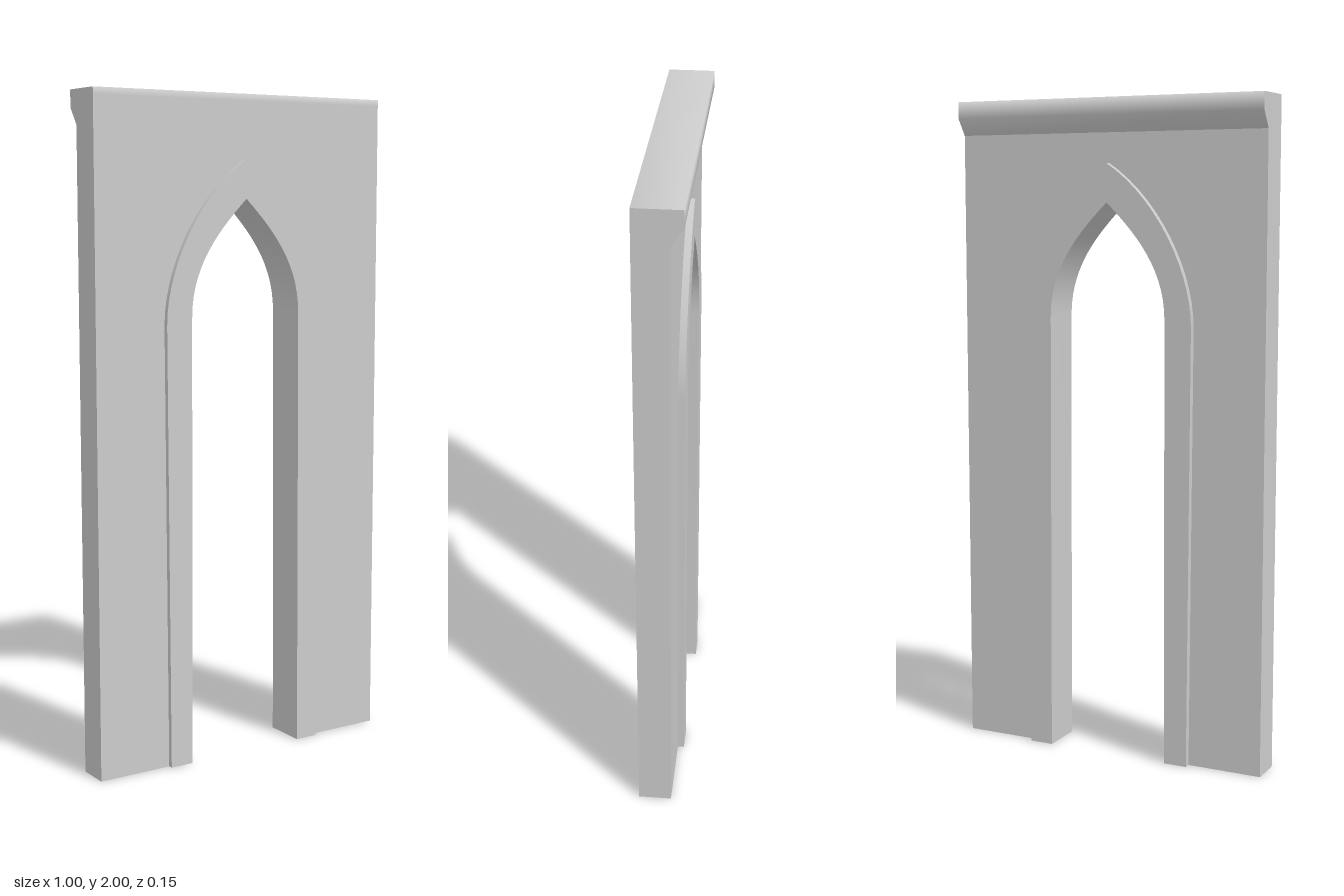
import * as THREE from 'three';
import { toCreasedNormals, mergeGeometries } from 'three/addons/utils/BufferGeometryUtils.js';

const grey = new THREE.MeshStandardMaterial({ color: 0xcccccc });
const openGrey = new THREE.MeshStandardMaterial({ color: 0xcccccc, side: THREE.DoubleSide });

// Skin between equal-length rows of [x, y, z] points
function loft(rows) {
  const n = rows[0].length, index = [];
  for (let i = 0; i < rows.length - 1; i++)
    for (let j = 0; j < n - 1; j++) {
      const a = i * n + j, b = a + n;
      index.push(a, b, b + 1, a, b + 1, a + 1);
    }
  const g = new THREE.BufferGeometry();
  g.setAttribute('position', new THREE.Float32BufferAttribute(rows.flat(2), 3));
  g.setIndex(index);
  g.computeVertexNormals();
  return g;
}

// Pointed arch outline: foot, springing point, two curve handles, apex;
// runs from the foot at -x over the apex to the foot at +x
function archLine(footX, spring, h1, h2, apexY) {
  const v = (p) => new THREE.Vector2(p[0], p[1]);
  const curve = new THREE.CubicBezierCurve(v(spring), v(h1), v(h2), v([0, apexY]));
  const right = [v([footX, 0]), ...curve.getPoints(14)];
  const left = right.slice(0, -1).map((p) => v([-p.x, p.y]));
  return [...left, ...right.reverse()];
}

function mesh(name, geometry, material) {
  const m = new THREE.Mesh(geometry, material);
  m.name = name;
  return m;
}

export function createModel() {
  const model = new THREE.Group();
  model.name = 'archedWall';

  const outer = archLine(0.268, [0.275, 1.33], [0.275, 1.5], [0.16, 1.71], 1.81);
  const inner = archLine(0.195, [0.19, 1.35], [0.19, 1.5], [0.1, 1.6], 1.695);
  const middle = outer.map((p, i) => p.clone().lerp(inner[i], 0.5));

  // Wall slab with the doorway cut out; its edge hides inside the frame
  const front = 0.06, back = -0.04, wallTop = 1.9;
  const shape = new THREE.Shape([
    new THREE.Vector2(0.5, 0), new THREE.Vector2(0.5, wallTop),
    new THREE.Vector2(-0.5, wallTop), new THREE.Vector2(-0.5, 0), ...middle,
  ]);
  const wall = new THREE.ExtrudeGeometry(shape, { depth: front - back, bevelEnabled: false });
  wall.translate(0, 0, back);
  model.add(mesh('wall', toCreasedNormals(wall, 0.6), grey));

  // Raised frame around the doorway, open at its feet
  const zf = 0.075, zb = -0.06;
  const rows = inner.map((p, i) => {
    const q = outer[i];
    return [[p.x, p.y, zf], [q.x, q.y, zf], [q.x, q.y, zb], [p.x, p.y, zb], [p.x, p.y, zf]];
  });
  model.add(mesh('archFrame', toCreasedNormals(loft(rows), 0.6), openGrey));

  // Cornice: softly shaded band overhanging the back, as [z, y] points
  const profile = [[front, wallTop], [front, 1.98], [front, 2], [-0.075, 2], [-0.075, 1.95], [back, wallTop]];
  const parts = [loft([-0.5, 0.5].map((x) => profile.map(([z, y]) => [x, y, z])))];
  for (const s of [-1, 1]) {
    const end = new THREE.ShapeGeometry(new THREE.Shape(profile.map(([z, y]) => new THREE.Vector2(-s * z, y))));
    end.rotateY(s * Math.PI / 2).translate(s * 0.5, 0, 0);
    end.deleteAttribute('uv');
    parts.push(end);
  }
  model.add(mesh('cornice', mergeGeometries(parts), grey));

  return model;
}
